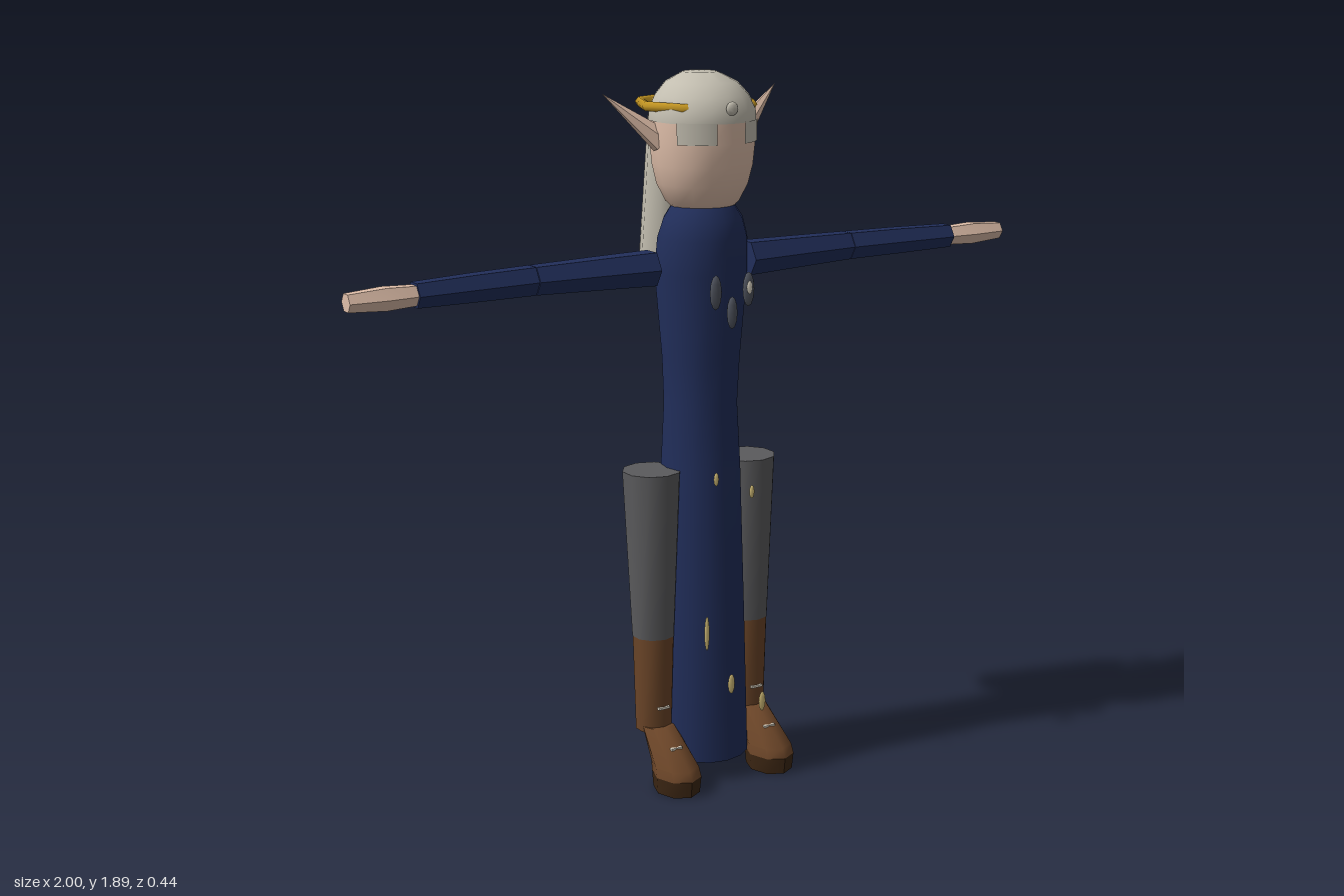
import * as THREE from 'three';
import { toCreasedNormals } from 'three/addons/utils/BufferGeometryUtils.js';

const mat = (name, color) => {
  const m = new THREE.MeshStandardMaterial({ color });
  m.name = name;
  return m;
};

// Capped skin over horizontal rings [x, y, z, radiusX, radiusZ]
function loft(rings, sides, crease = 0.9) {
  const pos = [], idx = [];
  for (const [x, y, z, rx, rz = rx] of rings)
    for (let j = 0; j < sides; j++) {
      const a = (j / sides) * Math.PI * 2;
      pos.push(x + Math.sin(a) * rx, y, z + Math.cos(a) * rz);
    }
  const n = rings.length, last = (n - 1) * sides;
  for (let i = 0; i < n - 1; i++)
    for (let j = 0; j < sides; j++) {
      const a = i * sides + j, b = i * sides + ((j + 1) % sides);
      idx.push(a, b, b + sides, a, b + sides, a + sides);
    }
  for (let j = 1; j < sides - 1; j++) {
    idx.push(0, j + 1, j);
    idx.push(last, last + j, last + j + 1);
  }
  const g = new THREE.BufferGeometry();
  g.setAttribute('position', new THREE.Float32BufferAttribute(pos, 3));
  g.setIndex(idx);
  return toCreasedNormals(g, crease);
}

export function createModel() {
  const model = new THREE.Group();
  const navy = mat('navy cloth', 0x212e5a);
  const skin = mat('skin', 0xe0bfaa);
  const silver = mat('silver hair', 0xc3beb0);
  const gold = mat('gold', 0xc99a24);
  const leather = mat('brown leather', 0x6b4528);
  const sole = mat('dark sole', 0x3c2613);
  const grey = mat('grey trousers', 0x5b5b5d);
  const gem = mat('slate gem', 0x50545e);
  const pale = mat('pale gold', 0xd6c07a);
  const cream = mat('cream', 0xeee6d4);

  const add = (name, geo, material, parent = model) => {
    const mesh = new THREE.Mesh(geo, material);
    mesh.name = name;
    parent.add(mesh);
    return mesh;
  };
  const bead = (name, material, x, y, z, w, h, d) => {
    const m = add(name, new THREE.SphereGeometry(0.5, 8, 6), material);
    m.position.set(x, y, z);
    m.scale.set(w, h, d);
    return m;
  };

  // Long robe
  add('robe', loft([
    [0, 0.055, 0.027, 0.127, 0.138], [0, 0.45, 0.027, 0.118, 0.124],
    [0, 0.86, 0.027, 0.106, 0.11], [0, 1.03, 0.026, 0.098, 0.1],
    [0, 1.15, 0.028, 0.103, 0.105], [0, 1.38, 0.029, 0.124, 0.12],
    [0, 1.47, 0.035, 0.12, 0.114], [0, 1.52, 0.038, 0.105, 0.1],
    [0, 1.555, 0.038, 0.082, 0.08],
  ], 16), navy);

  // Head and hair
  add('head', loft([
    [0, 1.54, 0.033, 0.072], [0, 1.565, 0.034, 0.097], [0, 1.61, 0.034, 0.12],
    [0, 1.66, 0.035, 0.132], [0, 1.72, 0.035, 0.138], [0, 1.78, 0.035, 0.138],
  ], 16), skin);
  add('hairCap', loft([
    [0, 1.772, 0.035, 0.14], [0, 1.8, 0.034, 0.139], [0, 1.835, 0.032, 0.122],
    [0, 1.867, 0.028, 0.094], [0, 1.892, 0.022, 0.045],
  ], 16), silver);
  for (const start of [0.3, Math.PI - 1.05, Math.PI + 0.3, 2 * Math.PI - 1.05]) {
    const lock = new THREE.CylinderGeometry(0.141, 0.14, 0.055, 4, 1, true, start, 0.75);
    add('hairLock', lock, silver).position.set(0, 1.747, 0.035);
  }
  add('hairTail', loft([
    [0, 1.325, -0.147, 0.078, 0.075], [0, 1.765, -0.125, 0.06, 0.056],
  ], 8), silver);

  // Circlet with brow stone
  const ring = new THREE.TorusGeometry(0.148, 0.013, 5, 8);
  ring.rotateX(Math.PI / 2);
  add('circlet', ring, gold).position.set(0, 1.81, 0.003);
  bead('browStone', silver, 0, 1.81, 0.172, 0.036, 0.036, 0.02);

  // Ears, arms and legs, mirrored
  for (const s of [1, -1]) {
    const side = s > 0 ? 'left' : 'right';
    const base = new THREE.Vector3(s * 0.118, 1.722, 0.026);
    const tip = new THREE.Vector3(s * 0.264, 1.845, -0.022);
    const dir = tip.clone().sub(base);
    const cone = new THREE.ConeGeometry(0.034, dir.length(), 6);
    cone.scale(1, 1, 0.75);
    const ear = add(side + 'Ear', toCreasedNormals(cone, 0.6), skin);
    ear.position.copy(base).lerp(tip, 0.5);
    ear.quaternion.setFromUnitVectors(new THREE.Vector3(0, 1, 0), dir.normalize());

    const limb = (name, rings, material) => {
      const g = loft(rings, 6, 0.6);
      g.rotateZ(-s * Math.PI / 2);
      add(side + name, g, material).position.y = 1.397;
    };
    limb('UpperArm', [[0, 0.145, 0.021, 0.05], [0, 0.3, 0.013, 0.046], [0, 0.485, 0.007, 0.041]], navy);
    limb('Forearm', [[0, 0.487, 0.007, 0.041], [0, 0.65, 0.014, 0.039], [0, 0.82, 0.025, 0.035]], navy);
    limb('Hand', [[0, 0.82, 0.026, 0.028], [0, 0.9, 0.028, 0.032], [0, 1, 0.029, 0.025]], skin);

    const x = s * 0.15;
    add(side + 'Thigh', loft([[x, 0.405, 0.028, 0.058], [x, 0.86, 0.022, 0.079]], 10), grey);
    add(side + 'BootShaft', loft([[x, 0.14, 0.028, 0.05], [x, 0.405, 0.028, 0.057]], 10), leather);
    add(side + 'Foot', loft([
      [x, 0.045, 0.143, 0.062, 0.077], [x, 0.07, 0.135, 0.06, 0.074],
      [x, 0.155, 0.048, 0.046, 0.042],
    ], 8), leather);
    add(side + 'Sole', loft([
      [x, 0, 0.142, 0.058, 0.073], [x, 0.045, 0.143, 0.062, 0.077],
    ], 8), sole);
    for (const [y, z] of [[0.21, 0.079], [0.115, 0.141]])
      add(side + 'BootLace', new THREE.BoxGeometry(0.034, 0.006, 0.009), cream).position.set(x, y, z);
  }

  // Chest stones and floating gold flecks down the front
  for (const [x, y, w, h] of [[-0.05, 1.347, 0.036, 0.09], [0, 1.29, 0.032, 0.085], [0.05, 1.347, 0.036, 0.09]])
    bead('chestStone', gem, x, y, 0.176, w, h, 0.022);
  bead('stoneGlint', cream, 0.047, 1.353, 0.186, 0.016, 0.034, 0.006);
  for (const [x, y, w, h] of [
    [-0.05, 0.855, 0.016, 0.036], [0.062, 0.805, 0.016, 0.036], [-0.078, 0.437, 0.016, 0.096],
    [0, 0.28, 0.022, 0.055], [0.1, 0.21, 0.022, 0.055],
  ]) bead('goldFleck', pale, x, y, 0.18, w, h, 0.01);

  return model;
}
